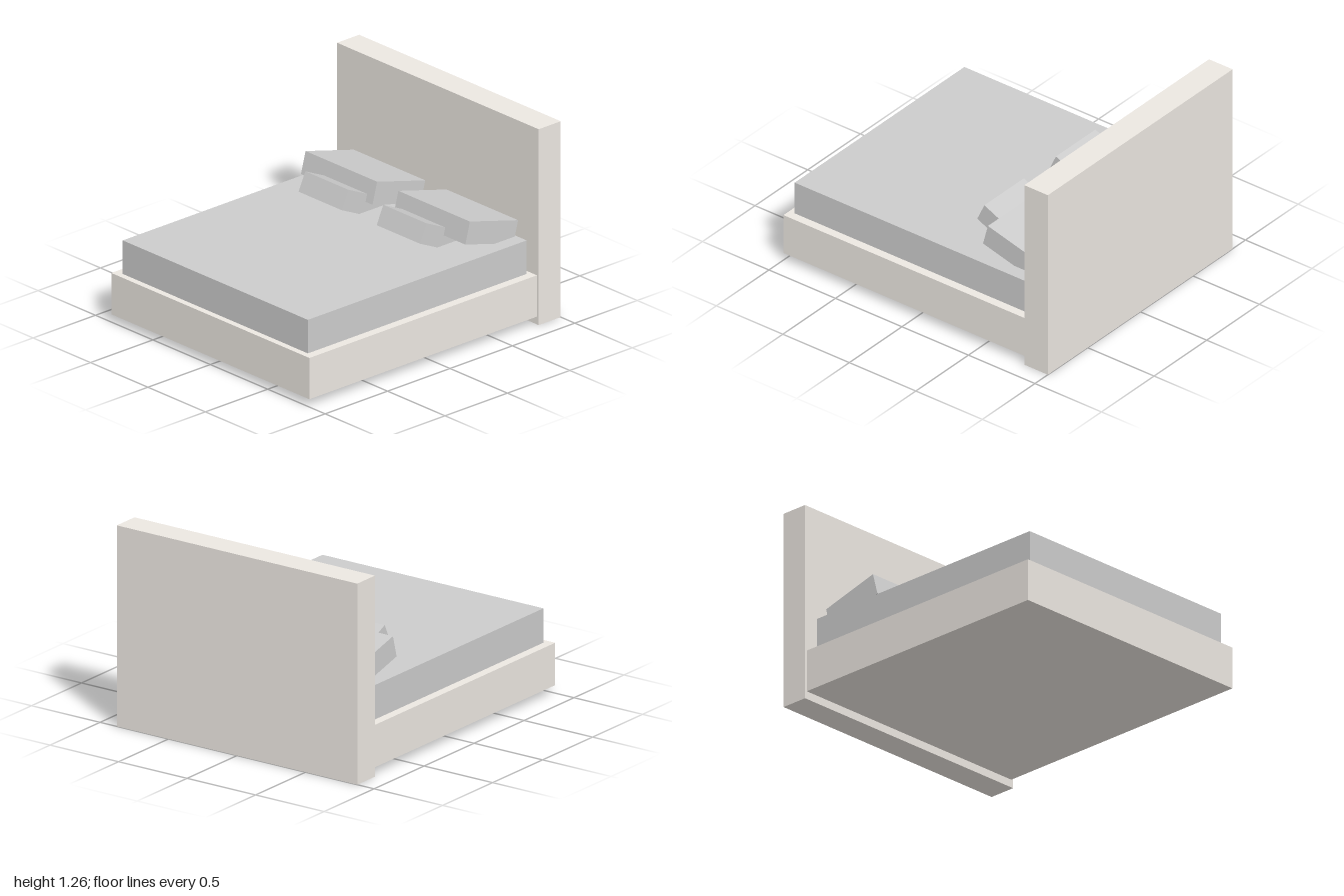
import * as THREE from 'three';

export function createModel() {
  const bed = new THREE.Group();
  bed.name = 'bed';
  const grey = new THREE.MeshStandardMaterial({ color: 0xcccccc });
  const beige = new THREE.MeshStandardMaterial({ color: 0xece7e1 });

  const addBox = (name, material, size, position, tilt = 0) => {
    const mesh = new THREE.Mesh(new THREE.BoxGeometry(...size), material);
    mesh.name = name;
    mesh.position.set(...position);
    mesh.rotation.x = THREE.MathUtils.degToRad(tilt);
    bed.add(mesh);
  };

  // Upholstered headboard, reaching the floor
  addBox('headboard', beige, [1.755, 1.257, 0.177], [0, 0.6285, -0.9115]);
  // Bed base, held clear of the floor by the headboard
  addBox('base', beige, [1.725, 0.265, 1.823], [0, 0.1825, 0.0885]);
  // Mattress, inset on the base
  addBox('mattress', grey, [1.612, 0.215, 1.753], [0, 0.4225, 0.0835]);

  // Pillows with their front edges raised, a pair on each side
  for (const [side, s] of [['left', 1], ['right', -1]]) {
    addBox(`${side}Pillow`, grey, [0.623, 0.142, 0.4], [s * 0.404, 0.61, -0.596], -15);
    addBox(`${side}Cushion`, grey, [0.375, 0.127, 0.342], [s * 0.34, 0.581, -0.374], -25);
  }
  return bed;
}
